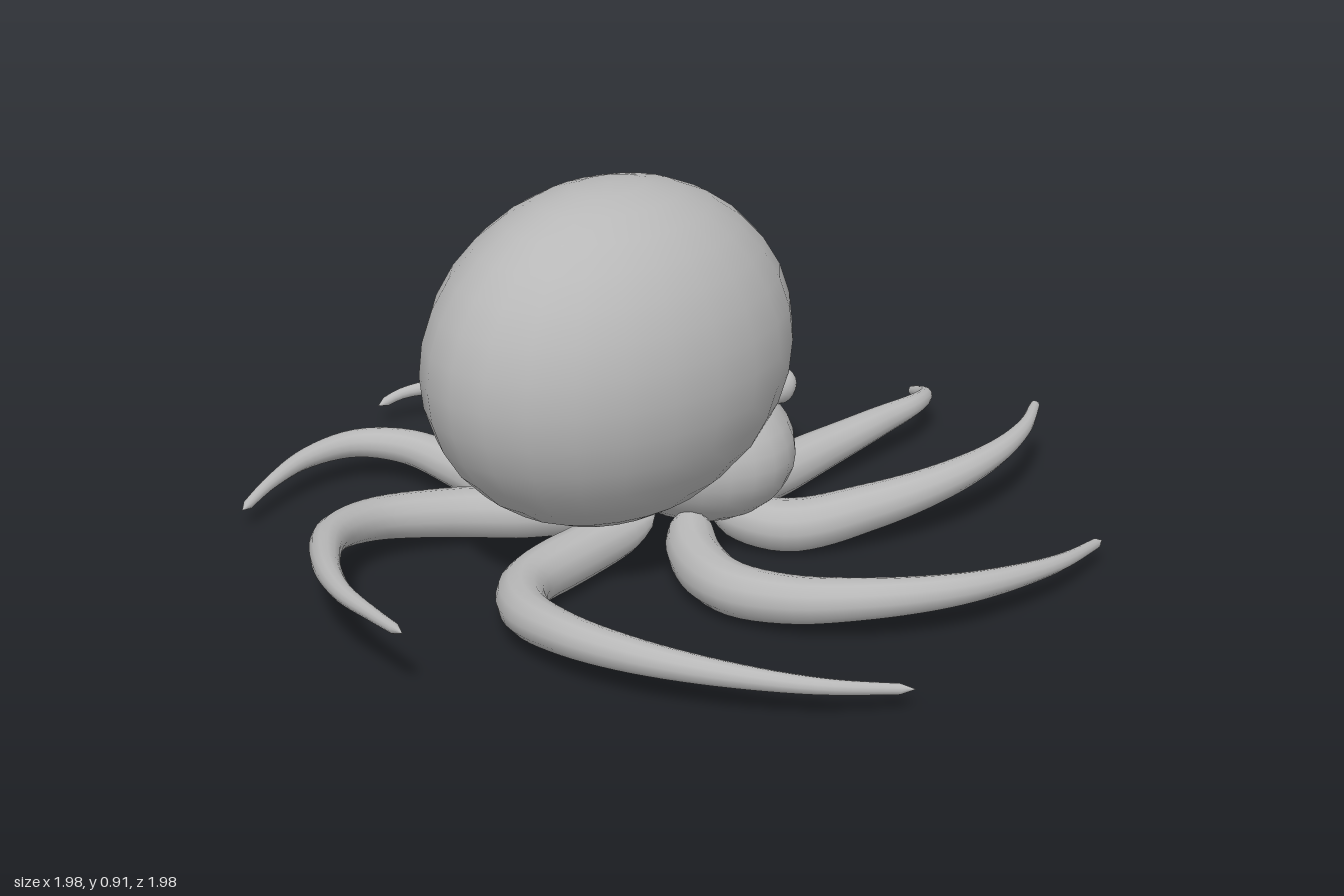
import * as THREE from 'three';

const lerpTable = (table, t) => {
  const f = Math.min(Math.max(t, 0), 1) * (table.length - 1);
  const i = Math.min(Math.floor(f), table.length - 2);
  return THREE.MathUtils.lerp(table[i], table[i + 1], f - i);
};

// height of an arm from root to tip: raised tips and lowered tips
const RAISED = [0.1, 0.07, 0.1, 0.13, 0.15, 0.163, 0.17];
const LOWERED = [0.1, 0.07, 0.08, 0.1, 0.105, 0.09, 0.057];
// arm thickness from root to tip
const RADII = [0.042, 0.06, 0.063, 0.059, 0.053, 0.046, 0.039, 0.031, 0.023, 0.016, 0.011];

// arm paths seen from above, [x, z] from root to tip
const ARMS = [
  ['frontArm', LOWERED, [[0.08, 0.02], [0.28, 0.025], [0.5, 0.025], [0.7, 0.035], [0.83, 0.03], [0.93, -0.02], [0.985, -0.12]]],
  ['frontLeftArm', RAISED, [[0.04, 0.08], [0.13, 0.25], [0.3, 0.365], [0.48, 0.43], [0.65, 0.44], [0.8, 0.405], [0.94, 0.33]]],
  ['leftArm', LOWERED, [[-0.02, 0.09], [-0.15, 0.24], [-0.205, 0.4], [-0.17, 0.55], [-0.08, 0.68], [0.06, 0.78], [0.2, 0.825], [0.4, 0.84], [0.61, 0.8]]],
  ['backLeftArm', LOWERED, [[-0.08, 0.04], [-0.3, 0.04], [-0.52, 0.08], [-0.62, 0.19], [-0.655, 0.35], [-0.63, 0.52], [-0.55, 0.7], [-0.42, 0.87], [-0.25, 0.99]]],
  ['backArm', RAISED, [[-0.06, -0.03], [-0.24, -0.2], [-0.4, -0.32], [-0.58, -0.375], [-0.73, -0.335], [-0.85, -0.21], [-0.935, -0.05], [-0.97, 0.1], [-0.99, 0.22]]],
  ['backRightArm', LOWERED, [[-0.04, -0.07], [-0.15, -0.2], [-0.2, -0.35], [-0.21, -0.5], [-0.24, -0.66], [-0.32, -0.755], [-0.45, -0.78], [-0.58, -0.755], [-0.7, -0.715]]],
  ['rightArm', LOWERED, [[0, -0.08], [0, -0.2], [0.01, -0.35], [0.04, -0.5], [0.08, -0.65], [0.095, -0.8], [0.06, -0.91], [0, -0.965], [-0.06, -0.99]]],
  ['frontRightArm', RAISED, [[0.06, -0.04], [0.16, -0.1], [0.25, -0.19], [0.35, -0.33], [0.42, -0.49], [0.455, -0.65], [0.445, -0.79], [0.4, -0.905]]],
];

// tapered tube with rounded ends along a smooth curve
function taperedArm(path, heights) {
  const last = path.length - 1;
  const curve = new THREE.CatmullRomCurve3(
    path.map(([x, z], i) => new THREE.Vector3(x, lerpTable(heights, i / last), z)));
  const rings = 44, sides = 12;
  const geo = new THREE.TubeGeometry(curve, rings, 1, sides, false);
  const pos = geo.attributes.position;
  const v = new THREE.Vector3();
  for (let i = 0; i <= rings; i++) {
    const t = i / rings;
    const centre = curve.getPointAt(t);
    const round = i === 0 || i === rings ? 0 : Math.sqrt(Math.min(1, t / 0.06));
    const r = lerpTable(RADII, t) * round;
    for (let j = 0; j <= sides; j++) {
      const k = i * (sides + 1) + j;
      v.fromBufferAttribute(pos, k).sub(centre).multiplyScalar(r).add(centre);
      pos.setXYZ(k, v.x, v.y, v.z);
    }
  }
  return geo;
}

export function createModel() {
  const model = new THREE.Group();
  model.name = 'octopus';
  const skin = new THREE.MeshStandardMaterial({ color: 0xb8b8b8 });
  skin.name = 'greySkin';

  const add = (name, geometry) => {
    const mesh = new THREE.Mesh(geometry, skin);
    mesh.name = name;
    model.add(mesh);
    return mesh;
  };
  const ellipsoid = (name, radii, centre, w = 24, h = 16) => {
    const mesh = add(name, new THREE.SphereGeometry(1, w, h));
    mesh.scale.set(...radii);
    mesh.position.set(...centre);
    return mesh;
  };

  // body
  ellipsoid('mantle', [0.475, 0.395, 0.35], [-0.195, 0.527, 0.01]);
  ellipsoid('head', [0.212, 0.185, 0.277], [0.055, 0.242, 0.013]);

  // eyes, leaning outwards
  for (const side of [1, -1]) {
    const eye = ellipsoid(side > 0 ? 'leftEye' : 'rightEye',
      [0.034, 0.044, 0.038], [0.178, 0.384, 0.013 + side * 0.172], 14, 10);
    eye.rotation.set(side * 0.4, 0, -0.3);
  }

  // arms
  for (const [name, heights, path] of ARMS) add(name, taperedArm(path, heights));

  return model;
}
